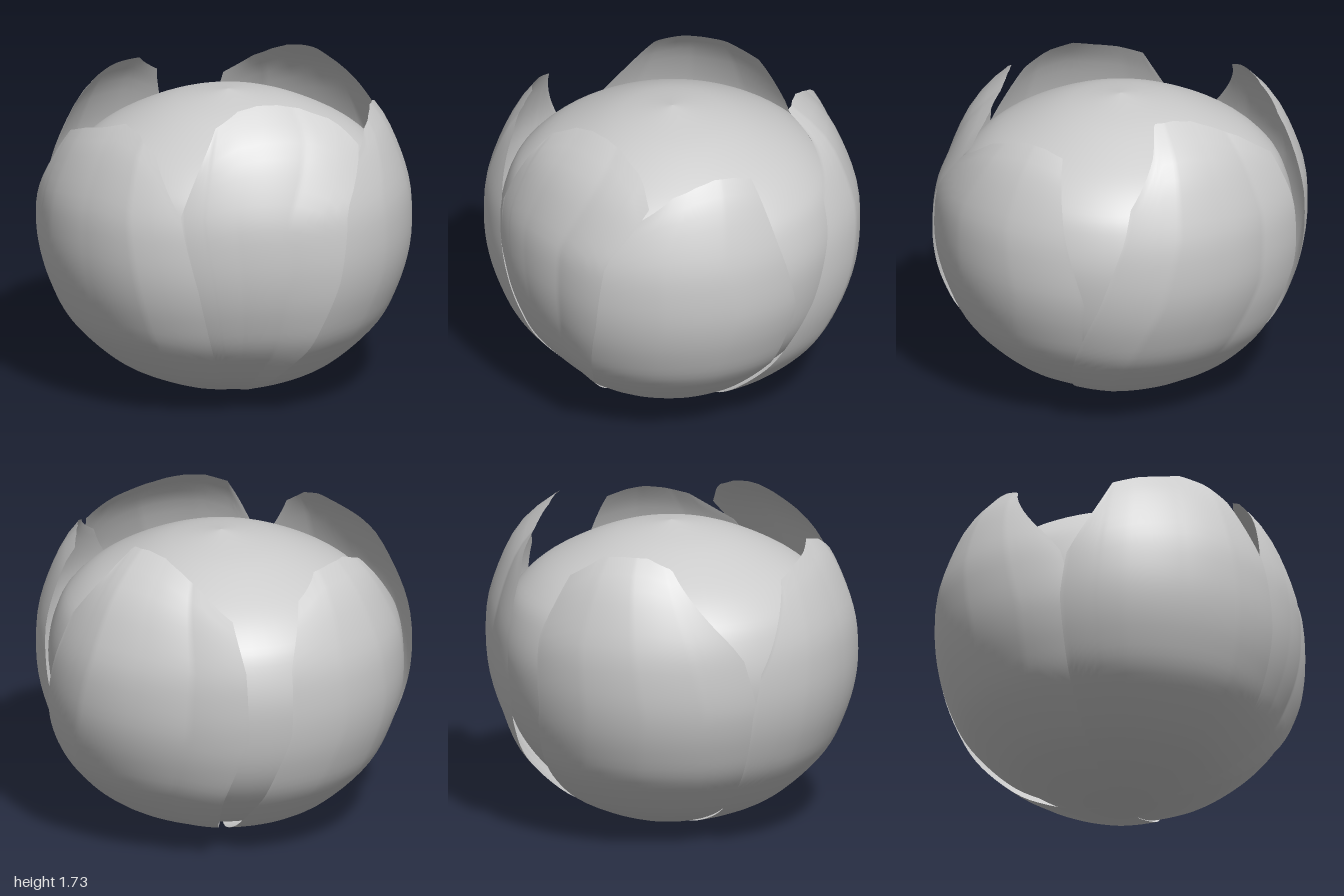
import * as THREE from 'three';

const material = new THREE.MeshStandardMaterial({ color: 0xcccccc, side: THREE.DoubleSide });

// Linear interpolation in a list of evenly spaced values, t from 0 to 1
function along(values, t) {
  const k = THREE.MathUtils.clamp(t, 0, 1) * (values.length - 1);
  const i = Math.min(Math.floor(k), values.length - 2);
  return THREE.MathUtils.lerp(values[i], values[i + 1], k - i);
}

const smooth = (points, n) =>
  new THREE.SplineCurve(points.map(p => new THREE.Vector2(...p))).getPoints(n);

// Husk profile as (radius, height), running from the base upwards
const husk = smooth([
  [0, 0.005], [0.2, 0.022], [0.42, 0.095], [0.61, 0.2], [0.81, 0.4], [0.91, 0.6],
  [0.965, 0.8], [0.98, 1], [0.96, 1.2], [0.87, 1.45], [0.77, 1.6], [0.62, 1.73]
], 150);

function huskRadius(y) {
  const i = Math.max(1, husk.findIndex(p => p.y >= y));
  const a = husk[i - 1], b = husk[i];
  return THREE.MathUtils.mapLinear(y, a.y, b.y, a.x, b.x);
}

// Husk pieces. start and end: side edge angles in degrees, from the front (+z)
// towards +x, at heights 0 to 1.6. rim: heights of the broken top, start to end.
// bulge: radius factors from start to end.
const pieces = {
  frontLeftHusk: {
    bulge: [0.97, 0.97, 0.985, 1.05], start: [12, 7, 3, -2, -2], end: [30, 44, 50, 53, 70],
    rim: [1.2, 1.64, 1.71, 1.73, 1.725, 1.7, 1.64, 1.5]
  },
  leftHusk: {
    bulge: [1.03, 1.035, 1.02, 0.985], start: [28, 41, 47, 50, 68], end: [98, 115, 118, 111, 106],
    rim: [1.4, 1.55, 1.59, 1.61, 1.6, 1.57]
  },
  backHusk: {
    bulge: [1.03, 1.055, 1.02, 0.99, 1.02], start: [98, 112, 123, 131, 136], end: [188, 192, 200, 199, 193],
    rim: [1.36, 1.73, 1.73, 1.71, 1.66, 1.59, 1.46]
  },
  rightHusk: {
    bulge: [1.01, 1.035, 1.04, 1.02, 0.97], start: [195, 207, 214, 214, 222], end: [290, 290, 290, 283, 270],
    rim: [1.52, 1.63, 1.64, 1.64, 1.59, 1.1]
  },
  frontRightHusk: {
    bulge: [1.05, 1.05, 1.035, 1.03, 0.98], start: [-74, -74, -74, -70, -66], end: [13, 8, 4, -2, -5],
    rim: [1.04, 1.5, 1.55, 1.58, 1.62, 1.59, 1.5, 1.2]
  }
};

// Thin curved sheet: columns run from the base up to the broken rim
function huskPiece([name, { bulge, start, end, rim }]) {
  const cols = 56, rows = 36, positions = [], indices = [];
  for (let i = 0; i <= cols; i++) {
    const u = i / cols;
    const top = along(rim, u);
    for (let j = 0; j <= rows; j++) {
      const y = 0.005 + (top - 0.005) * (j / rows) ** 1.7;
      const angle = THREE.MathUtils.lerp(along(start, y / 1.6), along(end, y / 1.6), u);
      const a = THREE.MathUtils.degToRad(angle);
      const r = huskRadius(y) * along(bulge, u);
      positions.push(r * Math.sin(a), y, r * Math.cos(a));
      if (i < cols && j < rows) {
        const p = i * (rows + 1) + j, q = p + rows + 1;
        indices.push(p, q, q + 1, p, q + 1, p + 1);
      }
    }
  }
  const geometry = new THREE.BufferGeometry();
  geometry.setAttribute('position', new THREE.Float32BufferAttribute(positions, 3));
  geometry.setIndex(indices);
  geometry.computeVertexNormals();
  const mesh = new THREE.Mesh(geometry, material);
  mesh.name = name;
  return mesh;
}

// Rounded kernel with a low domed top
function kernel() {
  const profile = smooth([
    [0, 0.03], [0.35, 0.1], [0.57, 0.22], [0.77, 0.42], [0.88, 0.65], [0.925, 0.95],
    [0.88, 1.18], [0.79, 1.32], [0.62, 1.45], [0.33, 1.58], [0, 1.645]
  ], 48);
  const mesh = new THREE.Mesh(new THREE.LatheGeometry(profile, 64), material);
  mesh.name = 'kernel';
  return mesh;
}

export function createModel() {
  const model = new THREE.Group();
  model.name = 'crackedNut';
  model.add(kernel(), ...Object.entries(pieces).map(huskPiece));
  return model;
}
